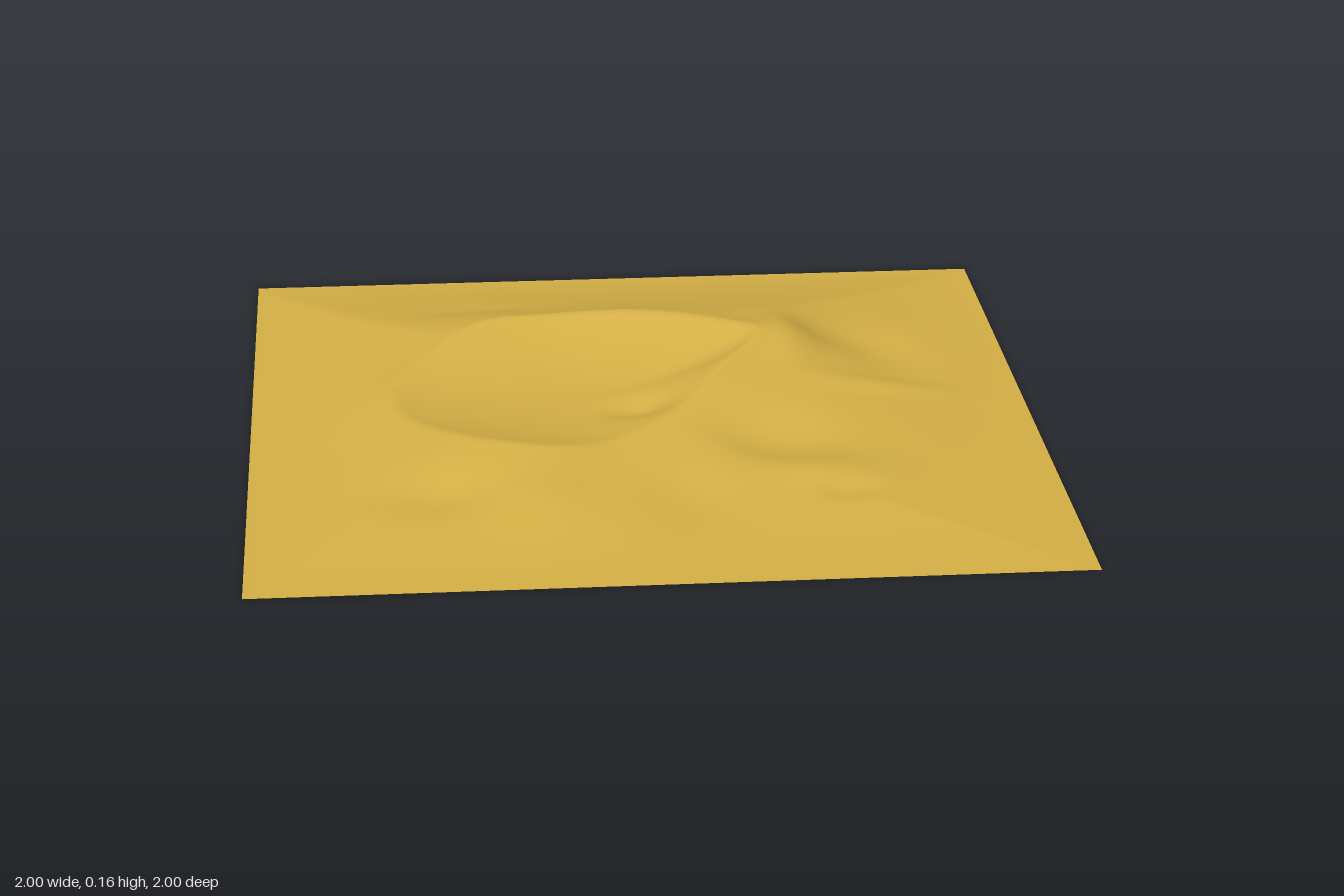
import * as THREE from 'three';

// Rim of the big hollow: x, height, z, counter-clockwise as seen in the xz plane
const RIM = [
  [0.32, 0.152, -0.2], [0.22, 0.13, -0.05], [0.14, 0.11, 0.08], [0.05, 0.092, 0.2],
  [-0.1, 0.075, 0.32], [-0.25, 0.088, 0.37], [-0.46, 0.092, 0.3], [-0.6, 0.078, 0.15],
  [-0.64, 0.075, -0.04], [-0.55, 0.09, -0.22], [-0.4, 0.125, -0.38], [-0.2, 0.127, -0.42],
  [0, 0.14, -0.4], [0.17, 0.15, -0.32],
];
const CENTRE = { x: -0.22, z: 0 };
const FLOOR = 0.048;

// Soft bumps (positive) and dents (negative): x, z, radius x, radius z, height
const BUMPS = [
  [0.3, 0.27, 0.17, 0.15, -0.035],   // gully below the peak
  [0.08, 0.55, 0.12, 0.16, -0.018],  // gully beside the front shoulder
  [0.42, 0.46, 0.12, 0.1, 0.012],    // front mound
  [0.46, 0.56, 0.07, 0.05, -0.014],  // dent in the front mound
  [-0.3, 0.6, 0.13, 0.13, 0.016],    // front shoulder
  [-0.53, 0.54, 0.15, 0.1, -0.022],  // front crater
  [-0.01, 0.09, 0.08, 0.06, -0.022], // small dent in the hollow
  [0.62, -0.32, 0.14, 0.15, -0.03],  // side valley
  [0.4, -0.28, 0.07, 0.16, 0.02],    // ridge beside the valley
  [0.62, -0.06, 0.2, 0.05, 0.01],    // side spur
  [-0.42, -0.64, 0.15, 0.08, -0.008], // shallow rear dent
];

// Rim resampled as angle, radius and height, sorted by angle
function sampleRim() {
  const curve = new THREE.CatmullRomCurve3(RIM.map((p) => new THREE.Vector3(...p)), true);
  return curve.getPoints(240).slice(0, -1).map((p) => ({
    a: Math.atan2(p.z - CENTRE.z, p.x - CENTRE.x),
    r: Math.hypot(p.x - CENTRE.x, p.z - CENTRE.z),
    h: p.y,
  })).sort((p, q) => p.a - q.a);
}

function rimAt(rim, angle) {
  const n = rim.length;
  let i = rim.findIndex((p) => p.a > angle);
  if (i < 0) i = 0;
  const q = rim[i], p = rim[(i + n - 1) % n];
  const turn = (v) => (v + Math.PI * 2) % (Math.PI * 2);
  const t = turn(angle - p.a) / (turn(q.a - p.a) || 1);
  return { r: p.r + (q.r - p.r) * t, h: p.h + (q.h - p.h) * t };
}

function heightAt(rim, x, z) {
  const dx = x - CENTRE.x, dz = z - CENTRE.z;
  const r = Math.hypot(dx, dz);
  const { r: R, h: H } = rimAt(rim, Math.atan2(dz, dx));
  let h;
  if (r < R) {
    // hollow rising from its floor to the rim
    h = FLOOR + (H - FLOOR) * Math.pow(r / R, 2.3);
  } else {
    // outer slope easing down to the border along the ray from the centre
    const toX = (Math.sign(dx) - CENTRE.x) / (dx || 1e-6);
    const toZ = (Math.sign(dz) - CENTRE.z) / (dz || 1e-6);
    const edge = r * Math.min(dx ? toX : Infinity, dz ? toZ : Infinity);
    const s = Math.min(1, (r - R) / (edge - R));
    h = H * Math.pow(1 - s, 1.5);
  }
  const border = 1 - Math.max(Math.abs(x), Math.abs(z));
  const fade = THREE.MathUtils.smoothstep(border, 0, 0.3);
  for (const [bx, bz, rx, rz, amount] of BUMPS) {
    h += fade * amount * Math.exp(-(((x - bx) / rx) ** 2) - ((z - bz) / rz) ** 2);
  }
  return Math.max(0, h);
}

export function createModel() {
  const model = new THREE.Group();
  model.name = 'terrain';

  // One square sheet raised into dunes
  const geometry = new THREE.PlaneGeometry(2, 2, 128, 128).rotateX(-Math.PI / 2);
  const rim = sampleRim();
  const pos = geometry.attributes.position;
  for (let i = 0; i < pos.count; i++) {
    pos.setY(i, heightAt(rim, pos.getX(i), pos.getZ(i)));
  }
  geometry.computeVertexNormals();

  const sand = new THREE.MeshStandardMaterial({ color: 0xd4af45, side: THREE.DoubleSide });
  const ground = new THREE.Mesh(geometry, sand);
  ground.name = 'sandSurface';
  model.add(ground);
  return model;
}
